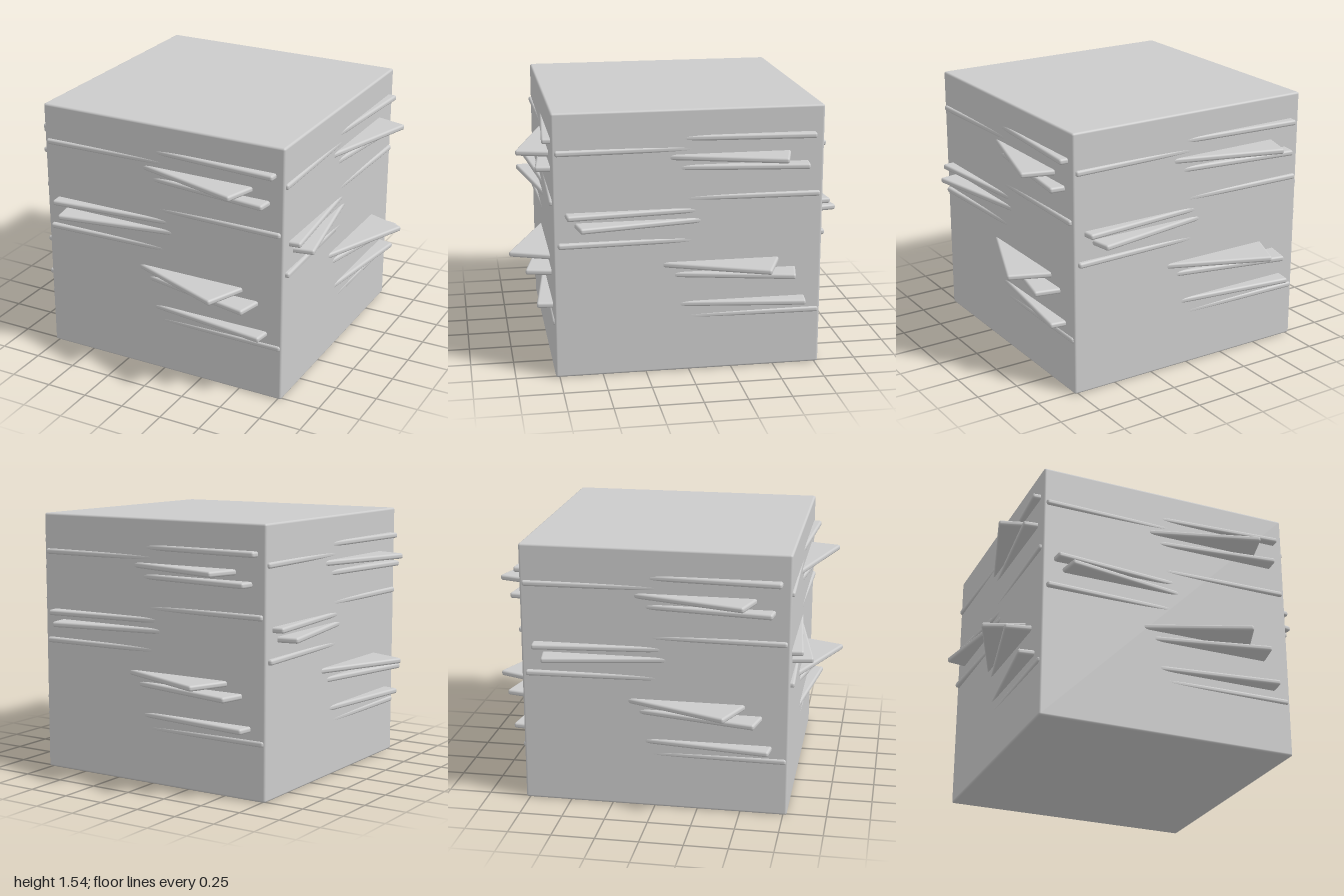
import * as THREE from 'three';
import { RoundedBoxGeometry } from 'three/addons/geometries/RoundedBoxGeometry.js';

const SIDE = 1.545;   // cube edge and plate width
const THICK = 0.033;  // plate thickness

// Twisted plates: [height of centre, turn in degrees about the vertical axis]
const PLATES = [
  [0.33, -0.8], [0.405, -7.4], [0.583, -12.4], [0.645, -21.9],
  [0.787, 1.9], [0.9, 9.8], [0.96, 5.3], [1.032, -1.3],
  [1.21, -6.8], [1.272, -16.2], [1.318, 1.2], [1.378, -3.8],
];

export function createModel() {
  const model = new THREE.Group();
  model.name = 'twistedPlateCube';
  const material = new THREE.MeshStandardMaterial({ color: 0xcccccc });

  // Solid cube with softly rounded edges
  const cube = new THREE.Mesh(new RoundedBoxGeometry(SIDE, SIDE, SIDE, 4, 0.013), material);
  cube.name = 'cubeBody';
  cube.position.y = SIDE / 2;
  model.add(cube);

  // Thin square plates whose corners poke out of the cube's sides
  const plateGeometry = new RoundedBoxGeometry(SIDE, THICK, SIDE, 4, 0.013);
  PLATES.forEach(([y, turn], i) => {
    const plate = new THREE.Mesh(plateGeometry, material);
    plate.name = `twistedPlate${i + 1}`;
    plate.position.y = y;
    plate.rotation.y = THREE.MathUtils.degToRad(turn);
    model.add(plate);
  });

  return model;
}
